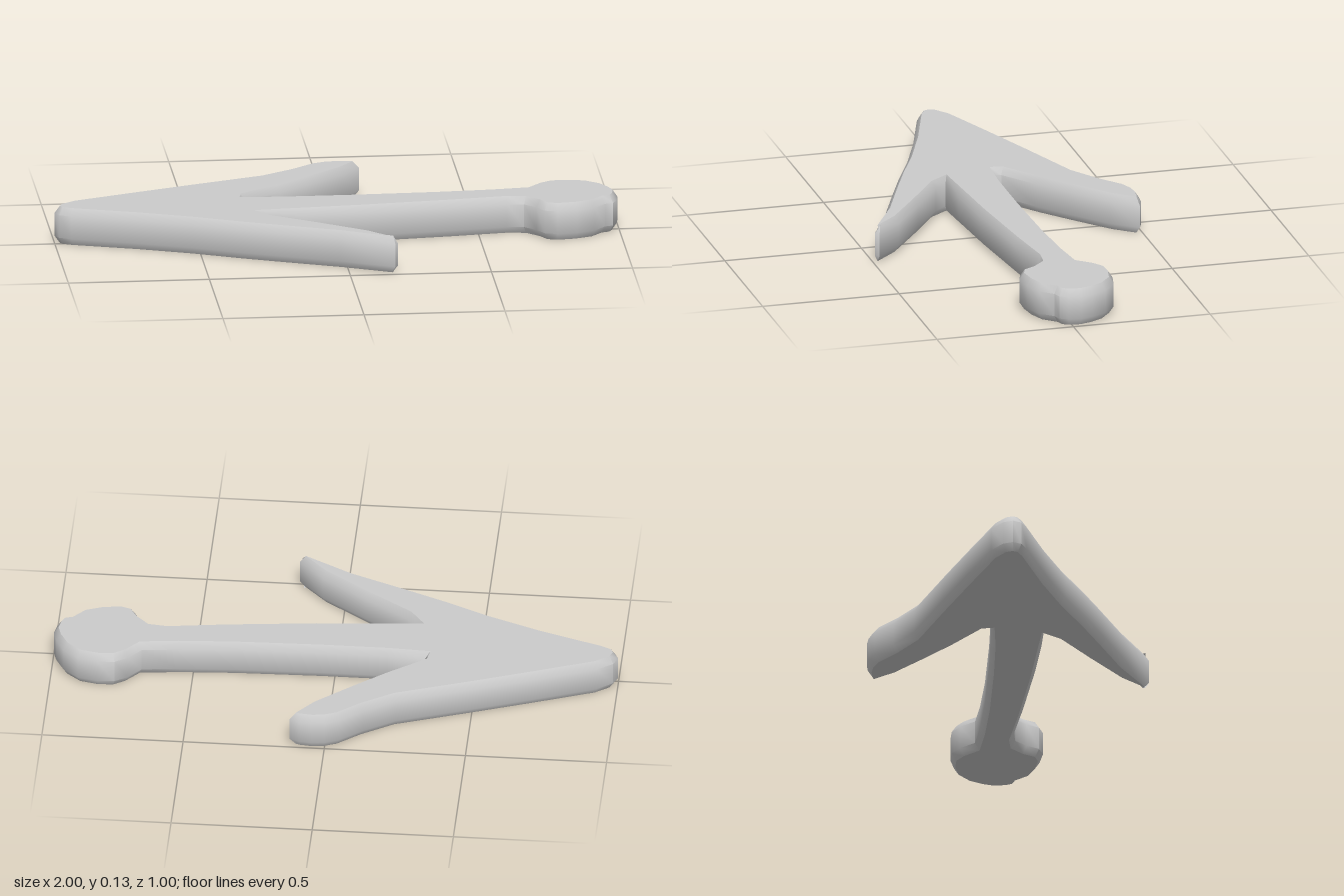
import * as THREE from 'three';
import { toCreasedNormals } from 'three/addons/utils/BufferGeometryUtils.js';

const HEIGHT = 0.135;
const BEVEL_HEIGHT = 0.026;
const BEVEL_WIDTH = 0.017;

// Outline sections as [x, z], walked from the point, round the far barb and back
const farBarb = [
  [-1, -0.015], [-0.985, -0.05], [-0.93, -0.09], [-0.72, -0.17], [-0.505, -0.25],
  [-0.24, -0.345], [-0.13, -0.415], [-0.05, -0.48], [0, -0.5], [0.045, -0.505], [0.09, -0.5], [0.125, -0.485],
  [0.055, -0.395], [-0.08, -0.28], [-0.185, -0.195], [-0.315, -0.1],
];
const shaftFar = [[-0.32, -0.078], [-0.185, -0.073], [0.05, -0.073], [0.35, -0.08], [0.55, -0.092], [0.68, -0.107]];
const knob = [
  [0.725, -0.158], [0.77, -0.187], [0.83, -0.19], [0.9, -0.175], [0.955, -0.13], [0.985, -0.075],
  [0.998, -0.03], [0.99, 0.015], [0.975, 0.045], [0.945, 0.055], [0.905, 0.1], [0.84, 0.125],
  [0.77, 0.135], [0.725, 0.12], [0.7, 0.075], [0.66, 0.035],
];
const shaftNear = [[0.6, 0.028], [0.4, 0.055], [0.08, 0.09], [-0.13, 0.107], [-0.28, 0.114]];
const nearBarb = [
  [-0.24, 0.16], [-0.08, 0.27], [0.08, 0.385], [0.17, 0.48], [0.16, 0.495],
  [-0.025, 0.405], [-0.23, 0.32], [-0.37, 0.26], [-0.53, 0.185], [-0.72, 0.11], [-0.945, 0.035], [-0.985, 0.015],
];

export function createModel() {
  const group = new THREE.Group();
  group.name = 'arrow';

  // Flat plate: outline extruded upward with softened rims
  const outline = [...farBarb, ...shaftFar, ...knob, ...shaftNear, ...nearBarb];
  const shape = new THREE.Shape(outline.map(([x, z]) => new THREE.Vector2(x, -z)));
  const plate = new THREE.ExtrudeGeometry(shape, {
    depth: HEIGHT - 2 * BEVEL_HEIGHT,
    bevelThickness: BEVEL_HEIGHT,
    bevelSize: BEVEL_WIDTH,
    bevelOffset: -BEVEL_WIDTH,
    bevelSegments: 1,
  });
  plate.rotateX(-Math.PI / 2);
  plate.translate(0, BEVEL_HEIGHT, 0);

  // Sides stay smooth, the flat faces keep a crisp rim
  const body = new THREE.Mesh(
    toCreasedNormals(plate, 0.75),
    new THREE.MeshStandardMaterial({ color: 0xcccccc }),
  );
  body.name = 'arrowBody';
  group.add(body);
  return group;
}
